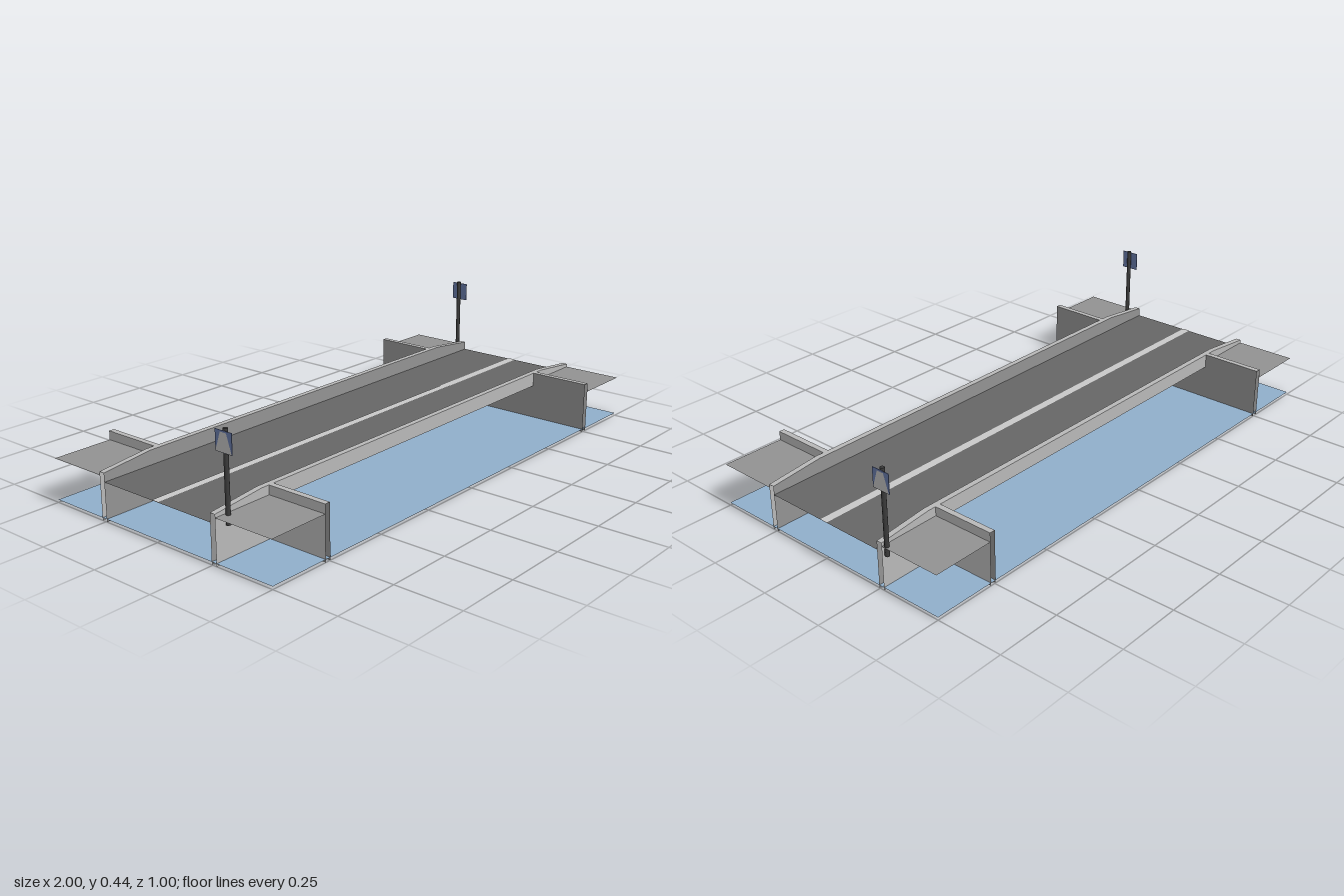
import * as THREE from 'three';

const flat = (name, color) => new THREE.MeshStandardMaterial({ name, color, side: THREE.DoubleSide });

export function createModel() {
  const model = new THREE.Group();
  model.name = 'roadBridge';

  const concrete = flat('light concrete', 0xb8b8b8);
  const shade = flat('dark concrete', 0x929292);
  const asphalt = flat('asphalt', 0x666666);
  const line = flat('lane paint', 0xc8c8c8);
  const water = flat('water', 0x90aeca);
  const metal = flat('pole metal', 0x3c3c3c);
  const blue = flat('sign blue', 0x6678a8);
  const white = flat('sign white', 0xbcbcbc);

  const DECK = 0.14, TOP = 0.193, END = 0.172, GROUND = 0.16; // heights
  const ZI = 0.246, ZO = 0.267;                              // parapet inner and outer z
  const XI = 0.746, XO = 0.767;                              // wing wall inner and outer x

  const add = (name, geometry, material, parent = model) => {
    const mesh = new THREE.Mesh(geometry, material);
    mesh.name = name;
    parent.add(mesh);
    return mesh;
  };

  // Flat four-cornered panel
  const panel = (name, material, a, b, c, d, parent) => {
    const geometry = new THREE.BufferGeometry();
    geometry.setAttribute('position', new THREE.Float32BufferAttribute([a, b, c, a, c, d].flat(), 3));
    geometry.computeVertexNormals();
    return add(name, geometry, material, parent);
  };

  // Horizontal panel
  const floor = (name, material, x0, x1, z0, z1, y, parent) =>
    panel(name, material, [x0, y, z0], [x0, y, z1], [x1, y, z1], [x1, y, z0], parent);

  floor('water', water, -1, 1, -0.5, 0.5, 0.01);
  floor('roadway', asphalt, -1, 1, -ZI, ZI, DECK);
  floor('centreLine', line, -1, 1, -0.015, 0.015, DECK + 0.002);

  // Bridge-shaped outline of a parapet face, open below the span
  const parapetFace = (span) => new THREE.ShapeGeometry(new THREE.Shape([
    [-1, 0], [-span, 0], [-span, DECK], [span, DECK], [span, 0], [1, 0],
    [1, END], [0.8, TOP], [-0.8, TOP], [-1, END],
  ].map(([x, y]) => new THREE.Vector2(x, y))));

  for (const s of [1, -1]) {
    // Parapet: two faces, coping and underside
    const parapet = new THREE.Group();
    parapet.name = s > 0 ? 'frontParapet' : 'backParapet';
    model.add(parapet);
    add('innerFace', parapetFace(XI), shade, parapet).position.z = s * ZI;
    const outer = add('outerFace', parapetFace(XO), concrete, parapet);
    outer.position.z = s * ZO;
    if (s < 0) outer.rotation.y = Math.PI;
    const coping = [[-1, END], [-0.8, TOP], [0.8, TOP], [1, END]];
    for (let i = 0; i < 3; i++) {
      const [x0, y0] = coping[i], [x1, y1] = coping[i + 1];
      panel('coping', concrete, [x0, y0, s * ZI], [x0, y0, s * ZO], [x1, y1, s * ZO], [x1, y1, s * ZI], parapet);
    }
    floor('beamUnderside', concrete, -XI, XI, s * ZI, s * ZO, DECK, parapet);

    // Abutment under each end of the deck
    const ax = s * XI;
    panel('abutment', shade, [ax, 0, -ZI], [ax, DECK, -ZI], [ax, DECK, ZI], [ax, 0, ZI]);

    // Wing walls and banks at the corners
    for (const e of [1, -1]) {
      const wing = new THREE.Group();
      wing.name = 'wingWall';
      model.add(wing);
      const face = (name, material, x, z0) => panel(name, material,
        [e * x, 0, s * z0], [e * x, TOP, s * z0], [e * x, TOP, s * 0.5], [e * x, 0, s * 0.5], wing);
      face('waterFace', shade, XI, ZI);
      face('bankFace', concrete, XO, ZO);
      floor('wingCoping', concrete, e * XI, e * XO, s * ZO, s * 0.5, TOP, wing);
      floor('bank', shade, e * XO, e, s * ZO, s * 0.5, GROUND);
    }
  }

  // Road signs, each facing away from the bridge
  const symbolShape = new THREE.Shape([[-0.034, 0.361], [0.034, 0.361], [0.013, 0.425], [-0.013, 0.425]]
    .map(([x, y]) => new THREE.Vector2(x, y)));
  for (const [x, z, turn] of [[0.99, -0.28, Math.PI / 2], [-0.957, 0.28, -Math.PI / 2]]) {
    const sign = new THREE.Group();
    sign.name = 'roadSign';
    sign.position.set(x, 0, z);
    sign.rotation.y = turn;
    model.add(sign);
    add('pole', new THREE.CylinderGeometry(0.008, 0.008, 0.31, 8).translate(0, 0.282, 0), metal, sign);
    add('signBoard', new THREE.BoxGeometry(0.07, 0.07, 0.002).translate(0, 0.395, 0.008), blue, sign);
    add('roadSymbol', new THREE.ShapeGeometry(symbolShape).translate(0, 0, 0.01), white, sign);
  }
  return model;
}
